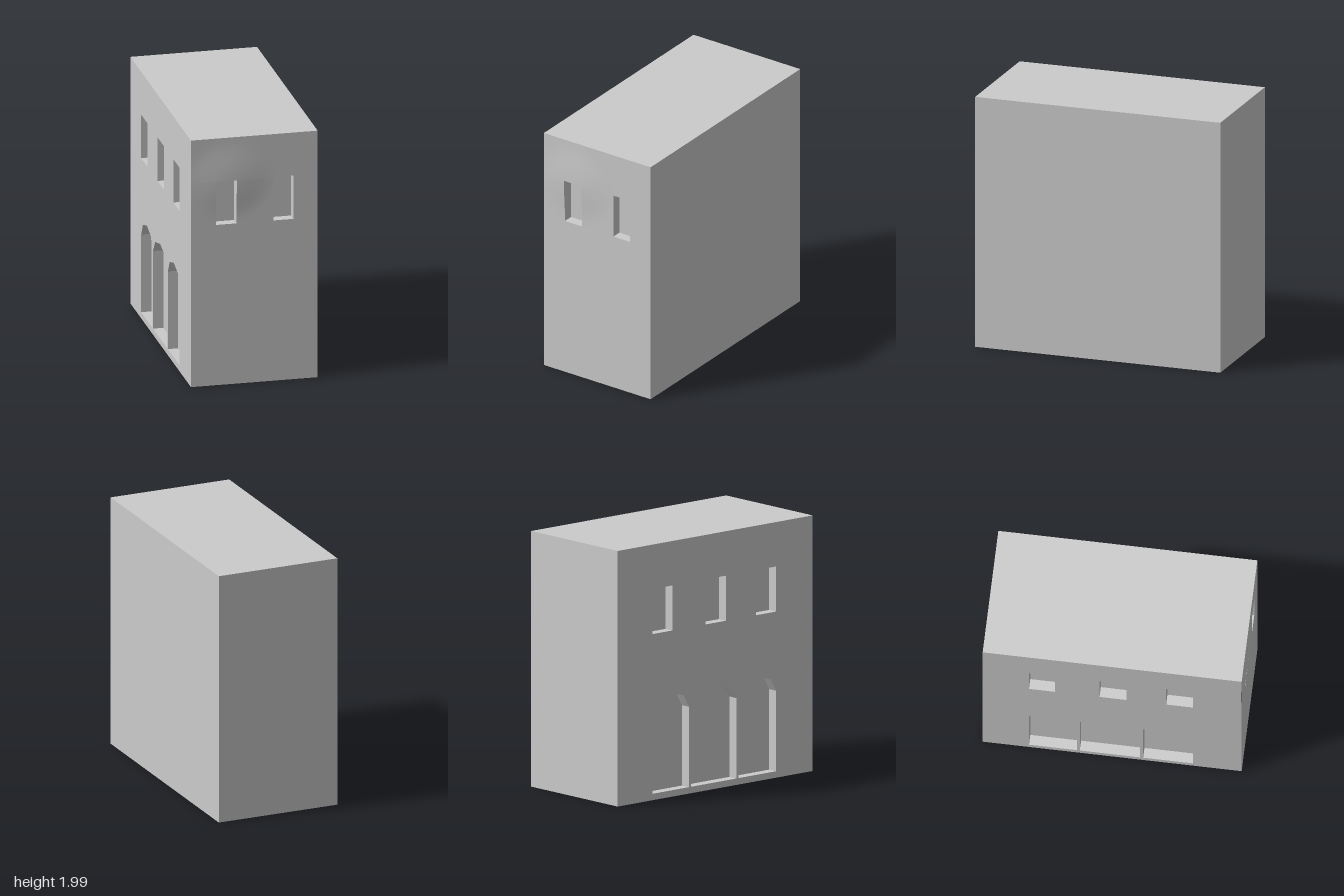
import * as THREE from 'three';

const W = 0.495, H = 1.985, BACK = -1, FRONT = 0.983, DEPTH = 0.08;
const SILL = 1.29, HEAD = 1.64;
const mat = new THREE.MeshStandardMaterial({ color: 0xcccccc });

function addMesh(parent, geo, name) {
  const m = new THREE.Mesh(geo, mat);
  m.name = name;
  parent.add(m);
  return m;
}

// Rectangular opening, counter-clockwise, each side split so it follows a curved wall
function rectPoints(u0, u1, v0, v1, n = 1) {
  const c = [[u0, v0], [u1, v0], [u1, v1], [u0, v1]].map(p => new THREE.Vector2(...p));
  return c.flatMap((p, i) => Array.from({ length: n }, (_, k) => p.clone().lerp(c[(i + 1) % 4], k / n)));
}

// Low-poly arched opening: straight jambs and a four-segment head
function archPoints(u0, u1) {
  const mid = (u0 + u1) / 2, r = (u1 - u0) / 2, spring = 0.675, rise = 0.135;
  const pts = [new THREE.Vector2(u0, 0.05), new THREE.Vector2(u1, 0.05)];
  for (let i = 0; i <= 4; i++) {
    const a = (i / 4) * Math.PI;
    pts.push(new THREE.Vector2(mid + r * Math.cos(a), spring + rise * Math.sin(a)));
  }
  return pts;
}

// Four-sided reveal running back from the wall face, plus the closed panel behind it
function addRecess(parent, pts, name, height = () => 0) {
  const pos = [];
  pts.forEach((a, i) => {
    const b = pts[(i + 1) % pts.length];
    const A = [a.x, a.y, height(a.x, a.y)], B = [b.x, b.y, height(b.x, b.y)];
    const C = [b.x, b.y, -DEPTH], D = [a.x, a.y, -DEPTH];
    pos.push(...A, ...B, ...C, ...A, ...C, ...D);
  });
  const reveal = new THREE.BufferGeometry();
  reveal.setAttribute('position', new THREE.Float32BufferAttribute(pos, 3));
  reveal.computeVertexNormals();
  addMesh(parent, reveal, name + 'Reveal');
  addMesh(parent, new THREE.ShapeGeometry(new THREE.Shape(pts)), name + 'Panel').position.z = -DEPTH;
}

// Gentle swelling of the front wall around the upper right-hand window
function bulge(x, y) {
  const r2 = ((x + 0.2) / 0.36) ** 2 + ((y - 1.64) / 0.32) ** 2;
  return r2 < 1 ? 0.016 * (1 - r2) ** 2 : 0;
}

// Grid lines at regular steps, with extra lines on the given edges
function gridLines(a, b, n, edges) {
  const even = Array.from({ length: n + 1 }, (_, i) => a + ((b - a) * i) / n);
  return [...new Set([...even, ...edges])].sort((p, q) => p - q);
}

function frontWall() {
  const wall = new THREE.Group();
  wall.name = 'frontWall';
  const windows = [[-0.3, -0.14], [0.15, 0.305]];
  const xs = gridLines(-W, W, 24, windows.flat());
  const ys = gridLines(0, H, 40, [SILL, HEAD]);
  const pos = [], index = [], nx = xs.length;
  ys.forEach(y => xs.forEach(x => pos.push(x, y, bulge(x, y))));
  for (let j = 0; j < ys.length - 1; j++) {
    for (let i = 0; i < nx - 1; i++) {
      const cx = (xs[i] + xs[i + 1]) / 2, cy = (ys[j] + ys[j + 1]) / 2;
      if (cy > SILL && cy < HEAD && windows.some(([l, r]) => cx > l && cx < r)) continue;
      const a = j * nx + i;
      index.push(a, a + 1, a + nx + 1, a, a + nx + 1, a + nx);
    }
  }
  const geo = new THREE.BufferGeometry();
  geo.setAttribute('position', new THREE.Float32BufferAttribute(pos, 3));
  geo.setIndex(index);
  geo.computeVertexNormals();
  addMesh(wall, geo, 'frontWallFace');
  windows.forEach(([l, r]) => addRecess(wall, rectPoints(l, r, SILL, HEAD, 8), 'frontWindow', bulge));
  wall.position.z = FRONT;
  return wall;
}

// Wall with three windows above three arches, drawn in z-y and turned to face -x
function arcadeWall() {
  const wall = new THREE.Group();
  wall.name = 'arcadeWall';
  const windows = [[-0.645, -0.445], [-0.105, 0.1], [0.405, 0.612]].map(([l, r]) => rectPoints(l, r, SILL, HEAD));
  const arches = [[-0.645, -0.277], [-0.256, 0.206], [0.229, 0.612]].map(([l, r]) => archPoints(l, r));
  const face = new THREE.Shape(rectPoints(BACK, FRONT, 0, H));
  [...windows, ...arches].forEach(p => face.holes.push(new THREE.Path([...p].reverse())));
  addMesh(wall, new THREE.ShapeGeometry(face), 'arcadeWallFace');
  windows.forEach(p => addRecess(wall, p, 'sideWindow'));
  arches.forEach(p => addRecess(wall, p, 'arch'));
  wall.rotation.y = -Math.PI / 2;
  wall.position.x = -W;
  return wall;
}

export function createModel() {
  const model = new THREE.Group();
  model.name = 'building';
  model.add(frontWall(), arcadeWall());

  // Plain outer faces
  const len = FRONT - BACK, midZ = (FRONT + BACK) / 2;
  const plain = (name, w, h, p, rx, ry) => {
    const m = addMesh(model, new THREE.PlaneGeometry(w, h), name);
    m.position.set(...p);
    m.rotation.set(rx, ry, 0);
  };
  plain('plainSideWall', len, H, [W, H / 2, midZ], 0, Math.PI / 2);
  plain('backWall', 2 * W, H, [0, H / 2, BACK], 0, Math.PI);
  plain('roof', 2 * W, len, [0, H, midZ], -Math.PI / 2, 0);
  plain('base', 2 * W, len, [0, 0, midZ], Math.PI / 2, 0);
  return model;
}
